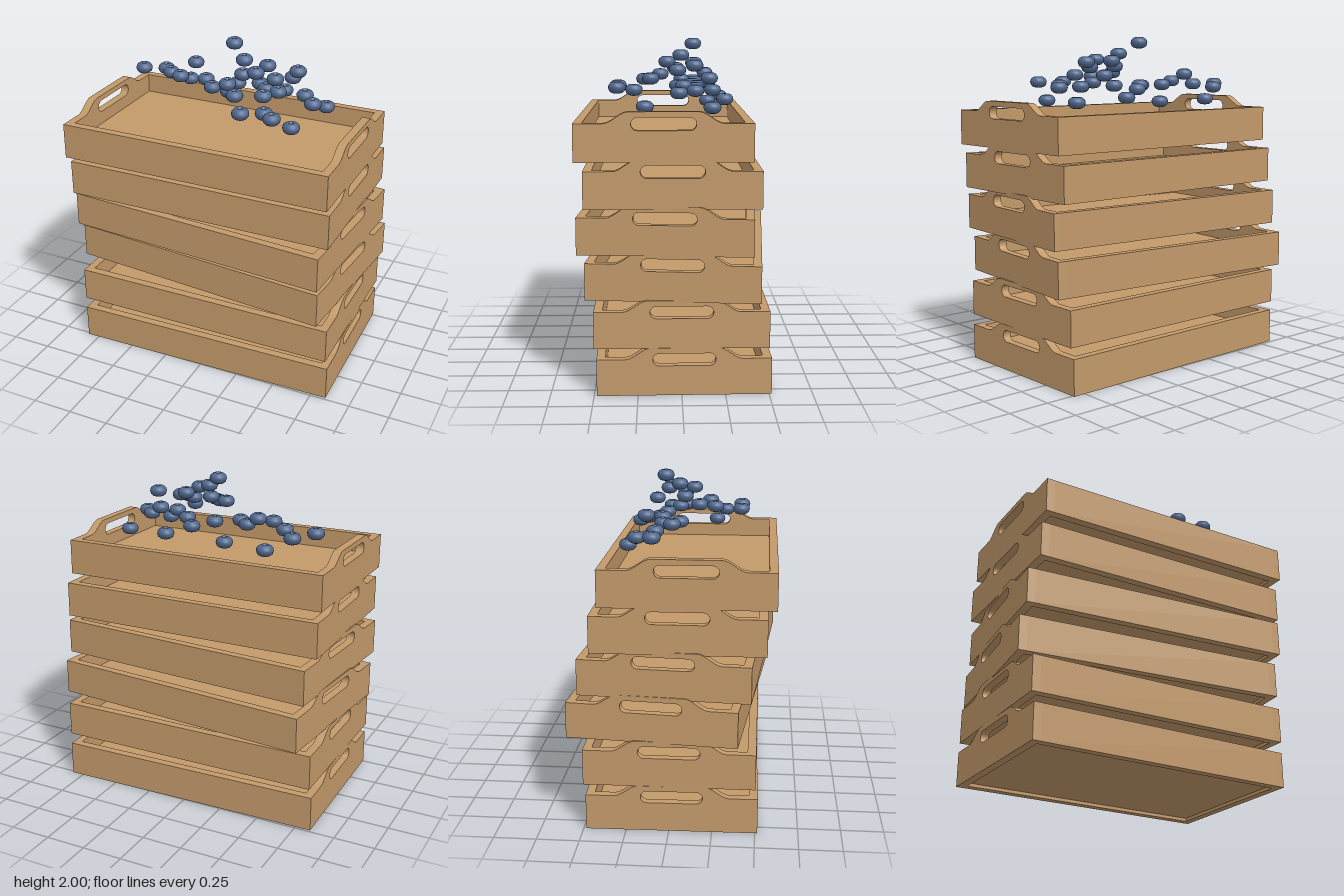
import * as THREE from 'three';

const wood = new THREE.MeshStandardMaterial({ color: 0xc2996a });
wood.name = 'wood';
const berryBlue = new THREE.MeshStandardMaterial({ color: 0x50688e });
berryBlue.name = 'berryBlue';

const LENGTH = 1.67, DEPTH = 1.0, WALL = 0.05, HEIGHT = 0.214, HANDLE = 0.279;
const FLOOR_BOTTOM = 0.02, FLOOR_TOP = 0.097;

// end panel: raised handle with curved shoulders and a rounded slot
function endPanelGeometry() {
  const s = new THREE.Shape();
  const d = DEPTH / 2;
  s.moveTo(-d, 0);
  s.lineTo(d, 0);
  s.lineTo(d, HEIGHT);
  s.lineTo(0.335, HEIGHT);
  s.bezierCurveTo(0.29, HEIGHT, 0.24, HANDLE, 0.195, HANDLE);
  s.lineTo(-0.195, HANDLE);
  s.bezierCurveTo(-0.24, HANDLE, -0.29, HEIGHT, -0.335, HEIGHT);
  s.lineTo(-d, HEIGHT);
  s.closePath();

  const r = 0.036, cx = 0.18 - r, cy = 0.211;
  const slot = new THREE.Path();
  slot.absarc(cx, cy, r, Math.PI / 2, -Math.PI / 2, true);
  slot.absarc(-cx, cy, r, -Math.PI / 2, -Math.PI * 1.5, true);
  slot.closePath();
  s.holes.push(slot);

  const g = new THREE.ExtrudeGeometry(s, { depth: WALL, bevelEnabled: false, curveSegments: 10 });
  g.translate(0, 0, -WALL / 2);
  g.rotateY(Math.PI / 2);
  return g;
}

function addMesh(parent, name, geometry, material, x, y, z) {
  const m = new THREE.Mesh(geometry, material);
  m.name = name;
  m.position.set(x, y, z);
  parent.add(m);
}

export function createModel() {
  const model = new THREE.Group();
  model.name = 'stackedCrates';

  const endGeo = endPanelGeometry();
  const inner = LENGTH - 2 * WALL;
  const sideGeo = new THREE.BoxGeometry(inner, HEIGHT, WALL);
  const floorGeo = new THREE.BoxGeometry(inner, FLOOR_TOP - FLOOR_BOTTOM, DEPTH - 2 * WALL);

  // crates: height, z offset, turn about the vertical
  const crates = [
    [0, 0, 0.018], [0.277, 0, 0], [0.547, -0.025, -0.093],
    [0.812, 0.032, -0.076], [1.077, 0.05, 0], [1.341, 0.1, 0],
  ];
  for (const [y, z, turn] of crates) {
    const crate = new THREE.Group();
    crate.name = 'crate';
    for (const side of [-1, 1]) {
      addMesh(crate, side > 0 ? 'leftEndPanel' : 'rightEndPanel', endGeo, wood,
        side * (LENGTH - WALL) / 2, 0, 0);
      addMesh(crate, side > 0 ? 'frontWall' : 'backWall', sideGeo, wood,
        0, HEIGHT / 2, side * (DEPTH - WALL) / 2);
    }
    addMesh(crate, 'floor', floorGeo, wood, 0, (FLOOR_BOTTOM + FLOOR_TOP) / 2, 0);
    crate.position.set(0, y, z);
    crate.rotation.y = turn;
    model.add(crate);
  }

  // berry: flattened ball with a small dimple on top
  const profile = [
    [0, -0.034], [0.018, -0.034], [0.034, -0.029], [0.046, -0.018], [0.052, 0],
    [0.049, 0.015], [0.04, 0.026], [0.028, 0.033], [0.019, 0.034],
    [0.013, 0.028], [0.01, 0.022], [0, 0.021],
  ].map(([x, y]) => new THREE.Vector2(x, y));
  const berryGeo = new THREE.LatheGeometry(profile, 20);

  // berry centres
  const berries = [
    [-0.672, 1.705, -0.106], [-0.566, 1.685, -0.203], [-0.425, 1.615, -0.27], [-0.478, 1.705, -0.106],
    [-0.336, 1.77, -0.172], [-0.368, 1.725, -0.02], [-0.224, 1.705, -0.086], [-0.12, 1.605, -0.181],
    [-0.018, 1.705, -0.106], [-0.031, 1.965, -0.085], [-0.136, 1.7, 0.011], [0.087, 1.685, -0.203],
    [0.229, 1.64, -0.27], [0.317, 1.77, -0.172], [0.176, 1.705, -0.092], [0.188, 1.855, -0.083],
    [0.069, 1.898, -0.008], [0.074, 1.82, 0.025], [0.016, 1.78, 0.118], [0.181, 1.862, 0.077],
    [0.106, 1.755, 0.213], [0.27, 1.767, 0.175], [0.318, 1.703, 0.274], [0.285, 1.725, -0.02],
    [0.279, 1.816, 0.015], [0.383, 1.848, -0.083], [0.43, 1.705, -0.087], [0.534, 1.615, -0.181],
    [0.516, 1.698, 0.011], [0.462, 1.615, 0.208], [0.214, 1.722, 0.371], [0.407, 1.722, 0.371],
  ];
  const pile = new THREE.Group();
  pile.name = 'berries';
  for (const [x, y, z] of berries) addMesh(pile, 'berry', berryGeo, berryBlue, x, y, z);
  model.add(pile);

  return model;
}
